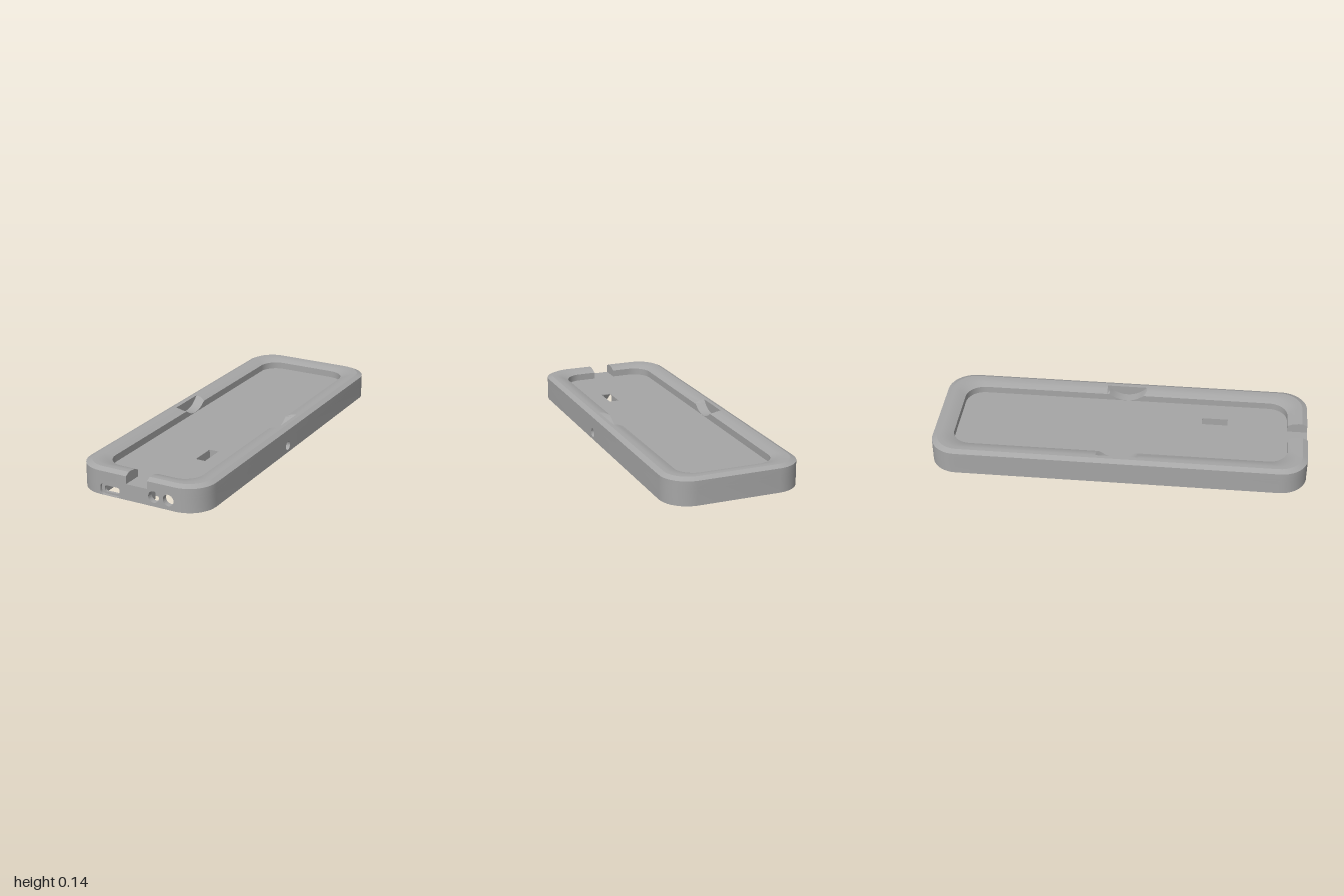
import * as THREE from 'three';
import { toCreasedNormals } from 'three/addons/utils/BufferGeometryUtils.js';

const W = 0.36, L = 1, R = 0.144;      // outer half width, half length, corner radius
const FLOOR = 0.085, UNDER = 0.08;     // tray floor and underside pocket ceiling
const PANEL = 0.216, PANEL_Z = 0.97;   // front port panel half width and back face

const grey = new THREE.MeshStandardMaterial({ color: 0xa6a6a6, side: THREE.DoubleSide });
grey.name = 'grey plastic';

// quarter circle in plan, turning from front to right to back to left
function corner(cx, cz, r, start, n = 10) {
  return Array.from({ length: n + 1 }, (_, i) => {
    const a = start + (i / n) * Math.PI / 2;
    return [cx + Math.sin(a) * r, cz + Math.cos(a) * r];
  });
}

// rounded rectangle in plan from (x0, front) round the back to (-x0, front)
function ring(w, l, r, x0) {
  const cx = w - r, cz = l - r, side = [];
  for (let i = 0; i <= 16; i++) side.push(0.11 - (i / 16) * 0.22);
  return [
    [x0, l], ...corner(cx, cz, r, 0), ...side.map(z => [w, z]),
    ...corner(cx, -cz, r, Math.PI / 2), ...corner(-cx, -cz, r, Math.PI),
    ...side.map(z => [-w, -z]), ...corner(-cx, cz, r, Math.PI * 1.5), [-x0, l],
  ];
}

const planShape = pts => new THREE.Shape(pts.map(([x, z]) => new THREE.Vector2(x, -z)));
const box2 = (x0, x1, z0, z1) => planShape([[x0, z0], [x1, z0], [x1, z1], [x0, z1]]);

function circle(x, y, r) {
  return new THREE.Path().absarc(x, y, r, 0, Math.PI * 2, true);
}

function roundRect(x0, y0, x1, y1, r) {
  const p = new THREE.Path();
  p.absarc(x1 - r, y1 - r, r, 0, Math.PI / 2);
  p.absarc(x0 + r, y1 - r, r, Math.PI / 2, Math.PI);
  p.absarc(x0 + r, y0 + r, r, Math.PI, Math.PI * 1.5);
  p.absarc(x1 - r, y0 + r, r, Math.PI * 1.5, Math.PI * 2);
  p.closePath();
  return p;
}

function add(group, name, geometry) {
  const mesh = new THREE.Mesh(toCreasedNormals(geometry, 0.35), grey);
  mesh.name = name;
  group.add(mesh);
  return mesh;
}

// extrude a plan shape upwards between two heights
function slab(group, name, shape, y0, y1) {
  const g = new THREE.ExtrudeGeometry(shape, { depth: y1 - y0, bevelEnabled: false });
  g.rotateX(-Math.PI / 2);
  g.translate(0, y0, 0);
  return add(group, name, g);
}

// upright plate in the xy plane with holes
function panel(group, name, x0, x1, holes, depth) {
  const s = new THREE.Shape([[x0, 0], [x1, 0], [x1, UNDER], [x0, UNDER]].map(p => new THREE.Vector2(...p)));
  s.holes.push(...holes);
  return add(group, name, new THREE.ExtrudeGeometry(s, { depth, bevelEnabled: false, curveSegments: 20 }));
}

export function createModel() {
  const model = new THREE.Group();
  model.name = 'tray';

  // base layer, its outline running in through the underside pockets and wire channels
  const base = planShape([
    ...corner(W - R, L - R, R, 0),
    [W, 0.14], [0.33, 0.14], [0.33, 0.03], [W, 0.03],
    ...corner(W - R, R - L, R, Math.PI / 2),
    ...corner(R - W, R - L, R, Math.PI),
    ...corner(R - W, L - R, R, Math.PI * 1.5),
    [-PANEL, PANEL_Z], [-0.2, PANEL_Z], [-0.2, 0.84], [-0.1, 0.84],
    [0.075, 0.56], [0.075, 0.42], [0.135, 0.42], [0.135, 0.575],
    [-0.045, 0.87], [-0.045, 0.89], [0.055, 0.89], [0.055, 0.83],
    [0.185, 0.83], [0.185, 0.4], [0.17, 0.4], [0.17, 0.16],
    [0.325, 0.16], [0.325, 0.4], [0.215, 0.4], [0.215, PANEL_Z], [PANEL, PANEL_Z],
  ]);
  // screw holes and the switch pocket
  for (const x of [-0.28, 0.28]) for (const z of [-0.7, 0.7]) base.holes.push(circle(x, -z, 0.011));
  base.holes.push(box2(0.25, 0.325, 0.04, 0.13));
  slab(model, 'base', base, 0, UNDER);
  slab(model, 'portDivider', box2(-0.09, 0.055, 0.92, PANEL_Z), 0, UNDER);

  // tray floor with the cable slot
  const floor = planShape(ring(W, L, R, 0.06));
  floor.holes.push(box2(0.08, 0.133, 0.43, 0.57));
  slab(model, 'trayFloor', floor, UNDER, FLOOR);

  // front port panel in two layers: a shallow socket recess outside, a slot inside
  const jacks = () => [0.095, 0.177].map(x => circle(x, 0.05, 0.03));
  panel(model, 'portPanelInner', -PANEL, PANEL,
    [roundRect(-0.195, 0.012, -0.11, 0.046, 0.012), ...jacks()], 0.015).position.z = PANEL_Z;
  panel(model, 'portPanelOuter', -PANEL, PANEL,
    [roundRect(-0.212, 0.002, -0.093, 0.061, 0.022), ...jacks()], 0.015).position.z = 0.985;

  // side panel with the round switch hole
  const side = panel(model, 'switchPanel', -0.055, 0.055, [circle(0, 0.037, 0.024)], 0.03);
  side.rotation.y = Math.PI / 2;
  side.position.set(0.33, 0, 0.085);

  // raised rim: half width, half length, radius, height, cut by finger scoops
  const profile = [
    [W, L, R, FLOOR, 0], [W, L, R, 0.126, 0],
    [0.333, 0.973, 0.125, 0.139, 0], [0.312, 0.952, 0.115, 0.139, 0],
    [0.312, 0.952, 0.115, 0.139, 1], [0.285, 0.923, 0.11, 0.135, 1],
    [0.255, 0.893, 0.1, 0.122, 1], [0.255, 0.893, 0.1, FLOOR, 1],
  ];
  const scoop = z => (Math.abs(z) > 0.111 ? 1 : 0.2235 - Math.sqrt(0.1375 ** 2 - z * z));
  const pos = [], index = [];
  let n = 0;
  for (const [w, l, r, y, cut] of profile) {
    const pts = ring(w, l, r, 0.06);
    n = pts.length;
    for (const [x, z] of pts) pos.push(x, cut ? Math.min(y, scoop(z)) : y, z);
  }
  for (let j = 0; j < profile.length - 1; j++) {
    for (let i = 0; i < n - 1; i++) {
      const a = j * n + i, b = a + 1, c = b + n, d = a + n;
      index.push(a, b, c, a, c, d);
    }
  }
  const rim = new THREE.BufferGeometry();
  rim.setAttribute('position', new THREE.Float32BufferAttribute(pos, 3));
  rim.setIndex(index);
  add(model, 'rim', rim);

  // rim ends beside the front cable notch
  const section = profile.filter((p, i) => i !== 4).map(p => new THREE.Vector2(p[1], p[3]));
  for (const x of [-0.06, 0.06]) {
    const cap = new THREE.ShapeGeometry(new THREE.Shape(section));
    cap.rotateY(-Math.PI / 2);
    add(model, 'notchWall', cap.toNonIndexed()).position.x = x;
  }
  return model;
}
